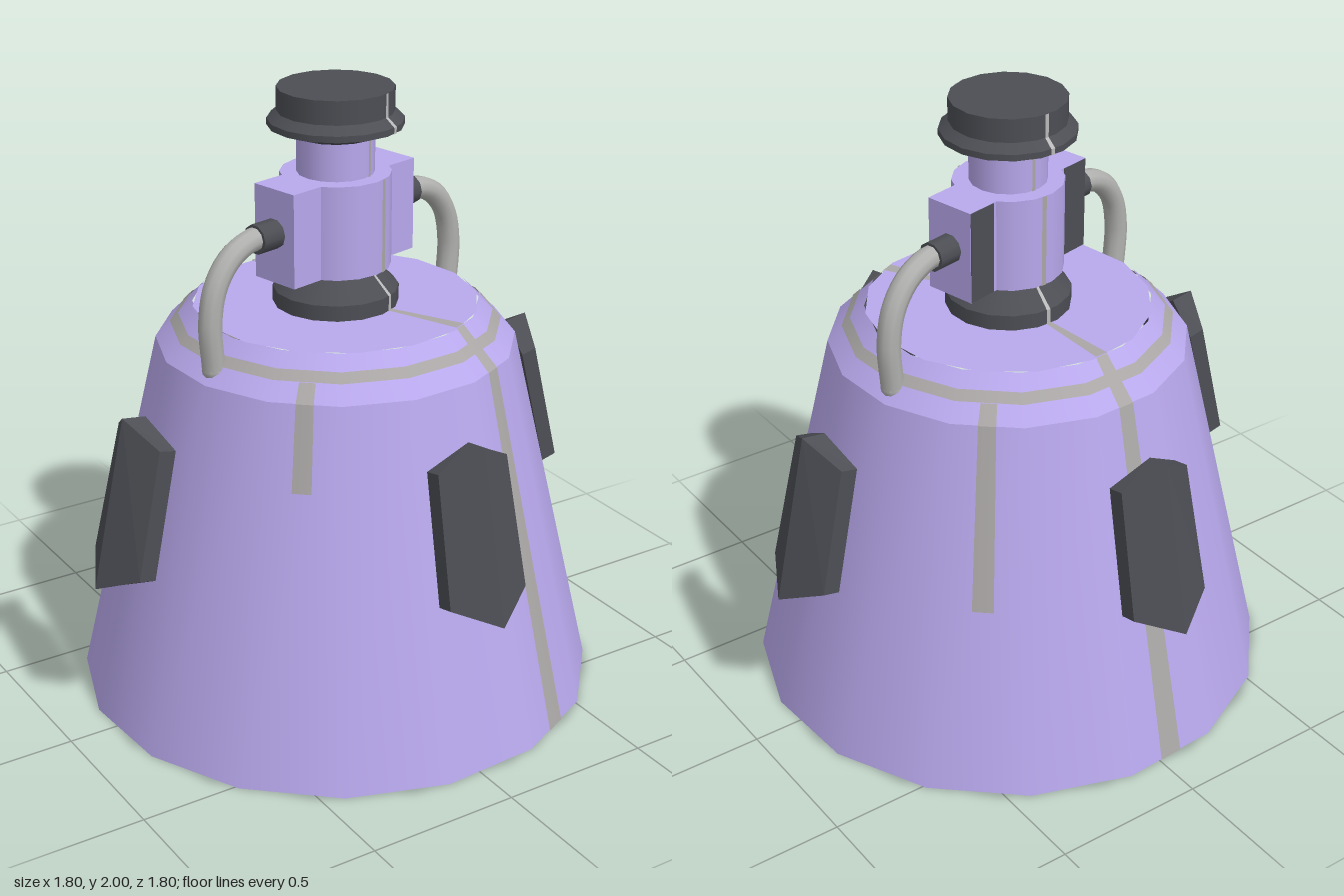
import * as THREE from 'three';

const SIDES = 16;
const DEG = Math.PI / 180;
const TURN = 14.5 * DEG; // angle of the first corner of every 16-sided part

const paint = (color, extra = {}) => new THREE.MeshStandardMaterial({ color, ...extra });
const lilac = paint(0xb8a8ec);
const dark = paint(0x4c4e54);
const darkFlat = paint(0x4c4e54, { flatShading: true });
const hoseGrey = paint(0xb0b0ae);
const stripeGrey = paint(0xaaa6a6, { side: THREE.DoubleSide });
const stripeLight = paint(0xb8b8b8, { side: THREE.DoubleSide });

function add(parent, name, geometry, material) {
  const mesh = new THREE.Mesh(geometry, material);
  mesh.name = name;
  parent.add(mesh);
  return mesh;
}

// Truncated cone between two heights
function frustum(parent, name, [r0, y0], [r1, y1], material, open = true) {
  const g = new THREE.CylinderGeometry(r1, r0, y1 - y0, SIDES, 1, open, TURN, Math.PI * 2);
  g.translate(0, (y0 + y1) / 2, 0);
  return add(parent, name, g, material);
}

// Flat disc closing a stack of frustums
function disc(parent, name, r, y, up, material) {
  const g = new THREE.CircleGeometry(r, SIDES, TURN - Math.PI / 2, Math.PI * 2);
  g.rotateX(up ? -Math.PI / 2 : Math.PI / 2);
  if (up) g.rotateY(2 * TURN);
  g.translate(0, y, 0);
  return add(parent, name, g, material);
}

// Narrow painted strip in the middle of one facet of a frustum
function strip(parent, facet, [r0, y0], [r1, y1], material, degrees = 5.5) {
  const half = (degrees / 2) * DEG;
  const k = Math.cos(Math.PI / SIDES) / Math.cos(half);
  const h = Math.max(y1 - y0, 0.001);
  const g = new THREE.CylinderGeometry(r1 * k + 0.003, r0 * k + 0.003, h, 1, 1, true,
    TURN + ((facet + 0.5) * 2 * Math.PI) / SIDES - half, 2 * half);
  g.translate(0, (y0 + y1) / 2 + (y1 - y0 < 0.01 ? 0.003 : 0), 0);
  add(parent, 'stripe', g, material);
}

// Bent plate with a central ridge and pointed ends, facing +z
function finGeometry() {
  const outer = [
    [0, 1.085, 0.78], [0.128, 1.01, 0.725], [0.143, 0.6, 0.82],
    [0, 0.535, 0.9], [-0.143, 0.6, 0.82], [-0.128, 1.01, 0.725],
  ];
  const inner = outer.map(([x, y, z]) => [x, y - 0.012, z - (x ? 0.055 : 0.08)]);
  const p = [...outer, ...inner];
  const index = [];
  const quad = (a, b, c, d) => index.push(a, b, c, a, c, d);
  quad(0, 5, 4, 3);
  quad(0, 3, 2, 1);
  quad(6, 9, 10, 11);
  quad(6, 7, 8, 9);
  for (let i = 0; i < 6; i++) {
    const j = (i + 1) % 6;
    quad(i, j, j + 6, i + 6);
  }
  const g = new THREE.BufferGeometry();
  g.setAttribute('position', new THREE.Float32BufferAttribute(p.flat(), 3));
  g.setIndex(index);
  const flat = g.toNonIndexed();
  flat.computeVertexNormals();
  return flat;
}

export function createModel() {
  const model = new THREE.Group();
  model.name = 'canister';

  // Tapered body with a chamfered shoulder
  const base = [0.85, 0], edge = [0.575, 1.185], rim = [0.455, 1.305];
  frustum(model, 'body', base, edge, lilac);
  frustum(model, 'shoulder', edge, rim, lilac);
  disc(model, 'bodyTop', rim[0], rim[1], true, lilac);
  disc(model, 'bodyBottom', base[0], base[1], false, dark);

  // Neck, valve block and cap, stacked on the axis
  const stack = [
    ['neckFoot', [0.2, 1.305], [0.2, 1.355], dark],
    ['neckTaper', [0.2, 1.355], [0.125, 1.43], dark],
    ['valveBlock', [0.175, 1.43], [0.175, 1.73], lilac],
    ['upperNeck', [0.122, 1.73], [0.122, 1.855], lilac],
    ['capUnderside', [0.13, 1.85], [0.213, 1.88], dark],
    ['capFlange', [0.213, 1.88], [0.213, 1.9], dark],
    ['capBevel', [0.213, 1.9], [0.183, 1.925], dark],
    ['cap', [0.183, 1.925], [0.183, 2], dark],
  ];
  for (const [name, a, b, m] of stack) frustum(model, name, a, b, m, false);

  // Two stripes running from top to bottom, on opposite facets
  for (const facet of [0, 7]) {
    strip(model, facet, base, edge, stripeGrey);
    strip(model, facet, edge, rim, stripeGrey);
    strip(model, facet, rim, [0.2, rim[1] + 0.001], stripeGrey);
    for (const [, a, b, m] of stack) {
      strip(model, facet, a, b, m === dark ? stripeLight : stripeGrey, m === dark ? 4 : 5.5);
    }
  }

  // Two short stripes that end part way down the body
  for (const [facet, low] of [[-3, 0.92], [5, 0.6]]) {
    const r = base[0] + ((edge[0] - base[0]) * low) / edge[1];
    strip(model, facet, [r, low], edge, stripeGrey);
    strip(model, facet, edge, [0.525, 1.235], stripeGrey);
  }

  // Painted ring around the shoulder
  frustum(model, 'shoulderRing', [0.528, 1.237], [0.501, 1.264], stripeGrey);

  // Block ears, connectors and hoses on both sides
  const path = new THREE.CatmullRomCurve3([
    [0.31, 1.59], [0.37, 1.59], [0.45, 1.555], [0.51, 1.48], [0.535, 1.37], [0.525, 1.22],
  ].map(([x, y]) => new THREE.Vector3(x, y, 0)));
  for (const [side, turn] of [['left', 13], ['right', 193]]) {
    const arm = new THREE.Group();
    arm.name = side + 'HoseArm';
    arm.rotation.y = turn * DEG;
    model.add(arm);
    add(arm, 'blockEar', new THREE.BoxGeometry(0.165, 0.3, 0.17), lilac).position.set(0.1825, 1.58, 0);
    // Dark panel on the rear face of the ear
    const back = side === 'left' ? -1 : 1;
    add(arm, 'earPanel', new THREE.BoxGeometry(0.1, 0.298, 0.004), dark).position.set(0.213, 1.58, back * 0.085);
    const connector = add(arm, 'connector', new THREE.CylinderGeometry(0.047, 0.047, 0.095, 10), dark);
    connector.rotation.z = Math.PI / 2;
    connector.position.set(0.3, 1.59, 0);
    add(arm, 'hose', new THREE.TubeGeometry(path, 20, 0.037, 10), hoseGrey);
    const end = add(arm, 'hoseEnd', new THREE.SphereGeometry(0.037, 10, 8), hoseGrey);
    end.position.set(0.525, 1.22, 0);
  }

  // Four ridged plates around the body
  const fin = finGeometry();
  for (let i = 0; i < 4; i++) {
    add(model, 'sidePlate', fin, darkFlat).rotation.y = 1.7 * DEG + (i * Math.PI) / 2;
  }

  return model;
}
